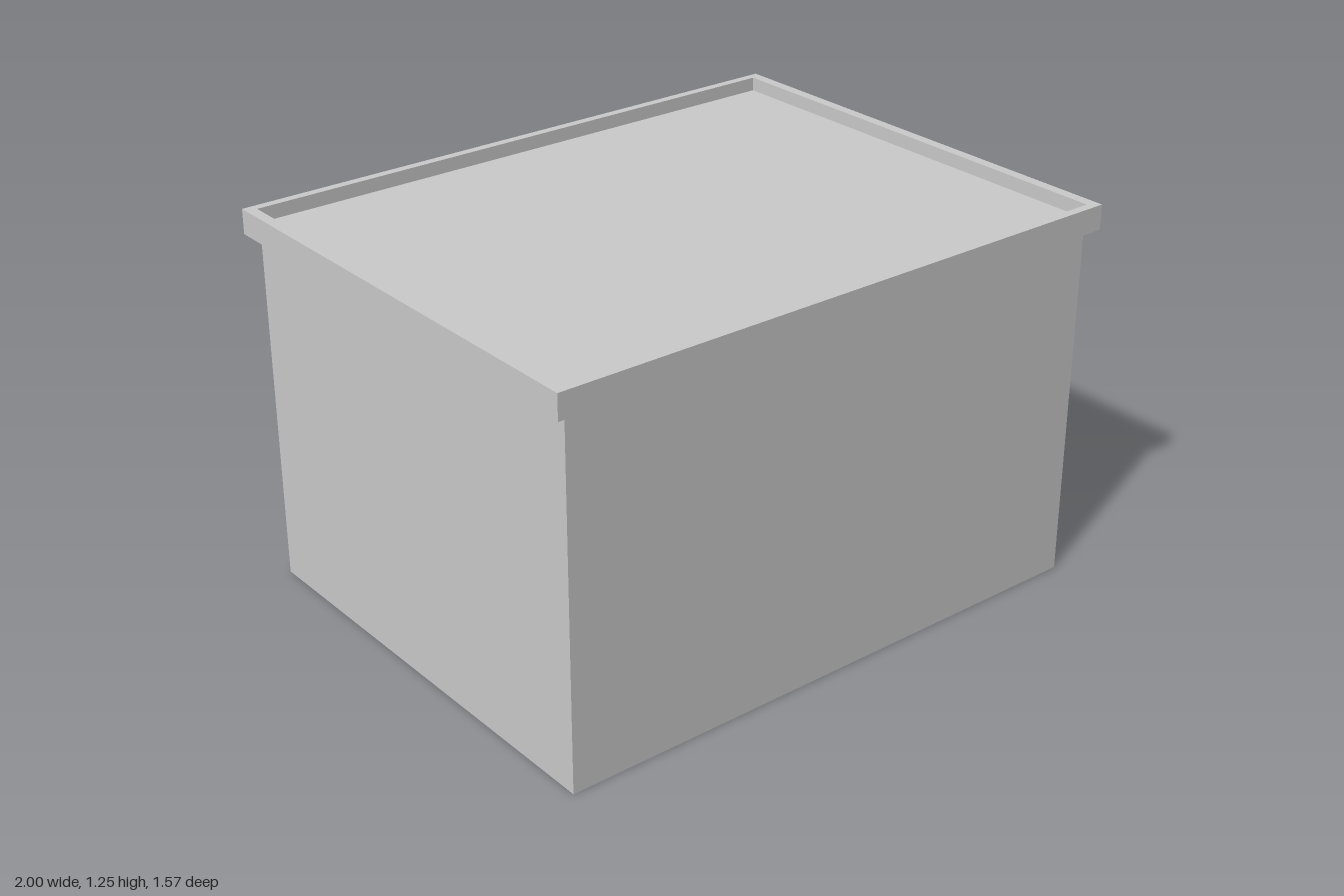
import * as THREE from 'three';

const X = 0.96, Z = 0.757;          // outer half sizes of the walls
const T = 0.03;                     // wall thickness
const BASE = 0.006, EAVE = 1.165, TOP = 1.245;
const ROOF_X = 1, ROOF_Z = 0.785;   // outer half sizes of the parapet

const material = new THREE.MeshStandardMaterial({ color: 0xcccccc, flatShading: true });

function addMesh(group, name, geometry) {
  const mesh = new THREE.Mesh(geometry, material);
  mesh.name = name;
  group.add(mesh);
  return mesh;
}

// Box given by its lower and upper bounds
function addBox(group, name, [x0, y0, z0], [x1, y1, z1]) {
  const mesh = addMesh(group, name, new THREE.BoxGeometry(x1 - x0, y1 - y0, z1 - z0));
  mesh.position.set((x0 + x1) / 2, (y0 + y1) / 2, (z0 + z1) / 2);
  return mesh;
}

function rectPoints(u0, v0, u1, v1) {
  return [[u0, v0], [u1, v0], [u1, v1], [u0, v1]].map(([u, v]) => new THREE.Vector2(u, v));
}

// Wall across z with its outer face at x; openings are [z0, y0, z1, y1].
// A doorway reaching the floor is cut as a notch in the outline.
function addPiercedWall(group, name, x, halfZ, y0, y1, door, windows) {
  const outline = [[-halfZ, y0], [-door[1], y0], [-door[1], door[2]], [-door[0], door[2]],
    [-door[0], y0], [halfZ, y0], [halfZ, y1], [-halfZ, y1]];
  const shape = new THREE.Shape(outline.map(([u, v]) => new THREE.Vector2(u, v)));
  for (const [z0, b, z1, t] of windows) {
    shape.holes.push(new THREE.Path(rectPoints(-z1, b, -z0, t)));
  }
  const geometry = new THREE.ExtrudeGeometry(shape, { depth: T, bevelEnabled: false });
  geometry.rotateY(Math.PI / 2); // shape u becomes -z, depth becomes +x
  geometry.translate(x - T, 0, 0);
  return addMesh(group, name, geometry);
}

export function createModel() {
  const house = new THREE.Group();
  house.name = 'house';

  // Ground slab
  addBox(house, 'groundFloor', [-X, 0, -Z], [X, BASE, Z]);

  // Three blank walls
  for (const side of [-1, 1]) {
    const inner = side * (Z - T), outer = side * Z;
    addBox(house, side > 0 ? 'frontWall' : 'backWall',
      [-X, BASE, Math.min(inner, outer)], [X - T, EAVE, Math.max(inner, outer)]);
  }
  addBox(house, 'rightWall', [-X, BASE, -Z + T], [-X + T, EAVE, Z - T]);

  // Street wall with a doorway and four windows
  addPiercedWall(house, 'streetWall', X, Z, BASE, EAVE, [-0.135, 0.138, 0.44], [
    [0.185, 0.09, 0.708, 0.437],
    [-0.705, 0.09, -0.182, 0.437],
    [0.095, 0.725, 0.665, 0.985],
    [-0.662, 0.725, -0.092, 0.985],
  ]);

  // Upper floor and the ground-floor partition with its inner doorway
  addBox(house, 'upperFloor', [-X + T, 0.605, -Z + T], [X - T, 0.625, Z - T]);
  addPiercedWall(house, 'partition', -0.1, Z - T, BASE, 0.605, [0.34, 0.612, 0.412], []);

  // Flat roof sunk inside a projecting parapet
  const rimX = 0.965, rimZ = 0.757;
  const rim = new THREE.Shape(rectPoints(-ROOF_X, -ROOF_Z, ROOF_X, ROOF_Z));
  rim.holes.push(new THREE.Path(rectPoints(-rimX, -rimZ, rimX, rimZ)));
  const parapet = new THREE.ExtrudeGeometry(rim, { depth: TOP - EAVE, bevelEnabled: false });
  parapet.rotateX(-Math.PI / 2);
  parapet.translate(0, EAVE, 0);
  addMesh(house, 'parapet', parapet);
  addBox(house, 'roofSlab', [-rimX, EAVE, -rimZ], [rimX, 1.2, rimZ]);

  return house;
}
